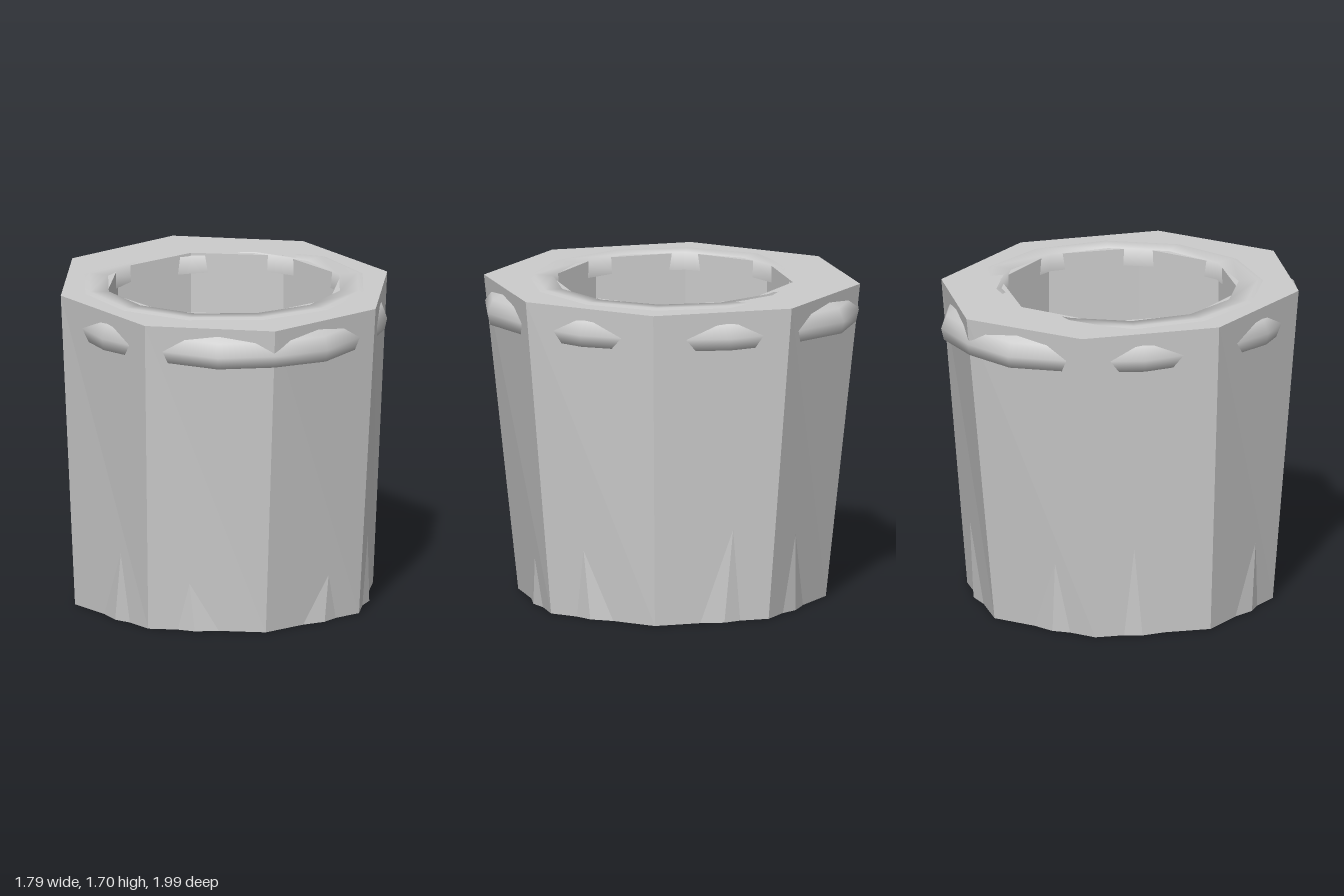
import * as THREE from 'three';
import { mergeVertices } from 'three/addons/utils/BufferGeometryUtils.js';

const H = 1.69, BASE = 0.815, TOP_X = 0.893, TOP_Z = 0.997;

const lathe = (points, sides) =>
  new THREE.LatheGeometry(points.map(([r, y]) => new THREE.Vector2(r, y)), sides);

// Octagonal pot: round base, oval top, octagonal opening
function bodyGeometry() {
  const g = lathe([[0, 0], [BASE, 0], [TOP_X, H], [0.64, H], [0.64, 1.22]], 8);
  const p = g.attributes.position;
  for (let i = 0; i < p.count; i++) {
    if (p.getY(i) === 0 || Math.hypot(p.getX(i), p.getZ(i)) < 0.7) continue;
    p.setZ(i, p.getZ(i) * TOP_Z / TOP_X);
  }
  const flat = g.toNonIndexed();
  flat.computeVertexNormals();
  return flat;
}

// Smooth band that swells out of the wall faces under the rim
function bandGeometry() {
  const profile = [[0.86, 1.48], [0.985, 1.487], [1, 1.55], [0.97, 1.62], [0.87, 1.67]];
  const quarter = [[0, 0.99], [0.3, 0.945], [0.6, 0.68], [0.78, 0.4], [0.853, 0]];
  const g = lathe(profile, 16);
  const p = g.attributes.position;
  for (let i = 0; i < p.count; i++) {
    const k = Math.floor(i / profile.length), s = profile[i % profile.length][0];
    const a = k * Math.PI / 8, m = k % 8 > 4 ? 8 - k % 8 : k % 8;
    p.setX(i, Math.sign(Math.sin(a)) * quarter[m][0] * s);
    p.setZ(i, Math.sign(Math.cos(a)) * quarter[m][1] * s);
  }
  g.deleteAttribute('uv');
  g.deleteAttribute('normal');
  const merged = mergeVertices(g, 1e-4);
  merged.computeVertexNormals();
  return merged;
}

// Rounded lip around the opening, sinking into the rim at the back
function lipGeometry() {
  const g = lathe([[0.8, 1.678], [0.73, 1.698], [0.63, 1.694], [0.628, 1.6]], 12);
  const p = g.attributes.position;
  for (let i = 0; i < p.count; i++) {
    if (p.getZ(i) < -0.6) p.setY(i, p.getY(i) - 0.02);
  }
  return g;
}

// Shallow wedge standing out of a wall face at the foot
function wedgeGeometry(sx, sz, onSide, height) {
  const wall = (t, y, push = 0) => {
    const f = y / H, rx = BASE + (TOP_X - BASE) * f, rz = BASE + (TOP_Z - BASE) * f;
    const c = Math.SQRT1_2;
    const x = onSide ? rx * (1 - t + t * c) : rx * t * c;
    const z = onSide ? rz * t * c : rz * (1 - t + t * c);
    const nx = onSide ? 0.924 : 0.383, nz = onSide ? 0.383 : 0.924;
    return [sx * (x + nx * push), y, sz * (z + nz * push)];
  };
  const l = wall(0.4, 0), r = wall(0.75, 0), out = wall(0.6, 0, 0.025), tip = wall(0.65, height, 0.002);
  const g = new THREE.BufferGeometry();
  g.setAttribute('position', new THREE.Float32BufferAttribute(
    [l, out, tip, out, r, tip, l, r, out].flat(), 3));
  // keep the triangles facing outward on mirrored faces
  if ((sx * sz > 0) === onSide) {
    g.setIndex([0, 2, 1, 3, 5, 4, 6, 8, 7]);
  }
  const flat = g.index ? g.toNonIndexed() : g;
  flat.computeVertexNormals();
  return flat;
}

export function createModel() {
  const group = new THREE.Group();
  const smooth = new THREE.MeshStandardMaterial({ color: 0xcccccc, side: THREE.DoubleSide });
  const faceted = new THREE.MeshStandardMaterial({
    color: 0xcccccc, side: THREE.DoubleSide, flatShading: true });
  const add = (name, geometry, material) => {
    const mesh = new THREE.Mesh(geometry, material);
    mesh.name = name;
    group.add(mesh);
  };

  add('potBody', bodyGeometry(), faceted);
  add('rimBand', bandGeometry(), smooth);
  add('innerLip', lipGeometry(), smooth);

  // Concave floor of the opening
  const bowl = [];
  for (let i = 0; i <= 8; i++) {
    const r = 0.64 * (1 - i / 8);
    bowl.push([r, 0.87 + 0.35 * (r / 0.64) ** 2]);
  }
  add('bowlFloor', lathe(bowl, 8 * 4), smooth);

  for (const sx of [-1, 1]) {
    for (const sz of [-1, 1]) {
      add('footWedge', wedgeGeometry(sx, sz, false, sz > 0 ? 0.26 : 0.42), faceted);
      add('footWedge', wedgeGeometry(sx, sz, true, sz > 0 ? 0.37 : 0.5), faceted);
    }
  }
  return group;
}
